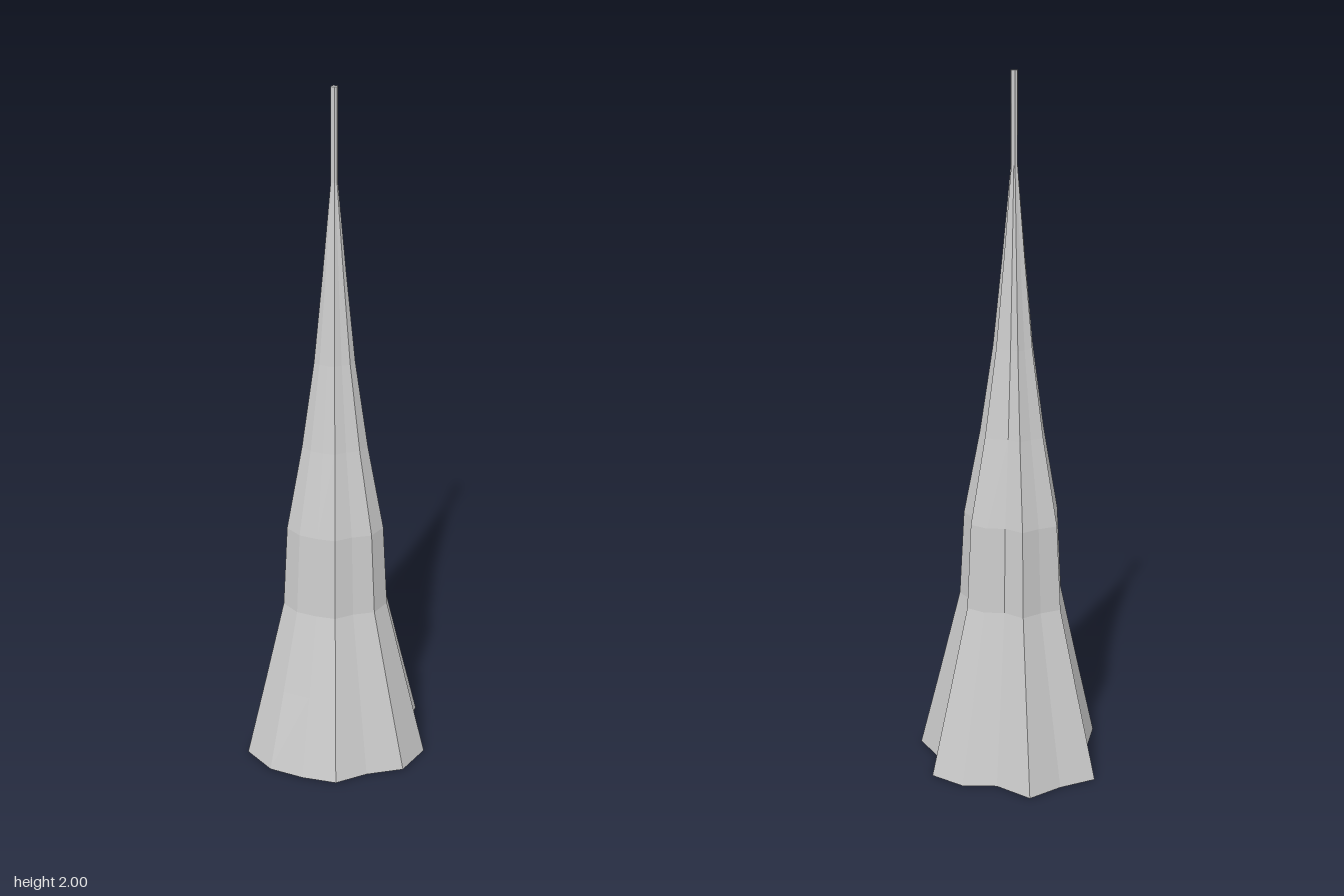
import * as THREE from 'three';

export function createModel() {
  const group = new THREE.Group();

  // Radius of each of the 16 ribs at the base, from the front (+z) towards +x
  const ribs = [0.261, 0.241, 0.285, 0.292, 0.229, 0.28, 0.255, 0.215,
    0.282, 0.253, 0.288, 0.216, 0.223, 0.285, 0.274, 0.255];
  // Taper of the outline at evenly spaced heights, base to tip
  const taper = [1, 0.78, 0.565, 0.515, 0.345, 0.212, 0.12, 0.036, 0.036];

  const height = 2;
  const rows = taper.length - 1;
  const geometry = new THREE.CylinderGeometry(1, 1, height, ribs.length, rows);
  geometry.translate(0, height / 2, 0);

  // Pull the plain cylinder into the ribbed, tapering outline
  const pos = geometry.attributes.position;
  for (let i = 0; i < pos.count; i++) {
    const x = pos.getX(i), y = pos.getY(i), z = pos.getZ(i);
    const step = Math.round(Math.atan2(x, z) / (2 * Math.PI) * ribs.length);
    const rib = ribs[(step + ribs.length) % ribs.length];
    const r = rib * taper[Math.round(y / height * rows)];
    pos.setXYZ(i, x * r - 0.003, y, z * r + 0.01);
  }
  geometry.computeVertexNormals();

  const spire = new THREE.Mesh(geometry,
    new THREE.MeshStandardMaterial({ color: 0xcccccc, flatShading: true }));
  spire.name = 'ribbedSpire';
  group.add(spire);
  return group;
}
